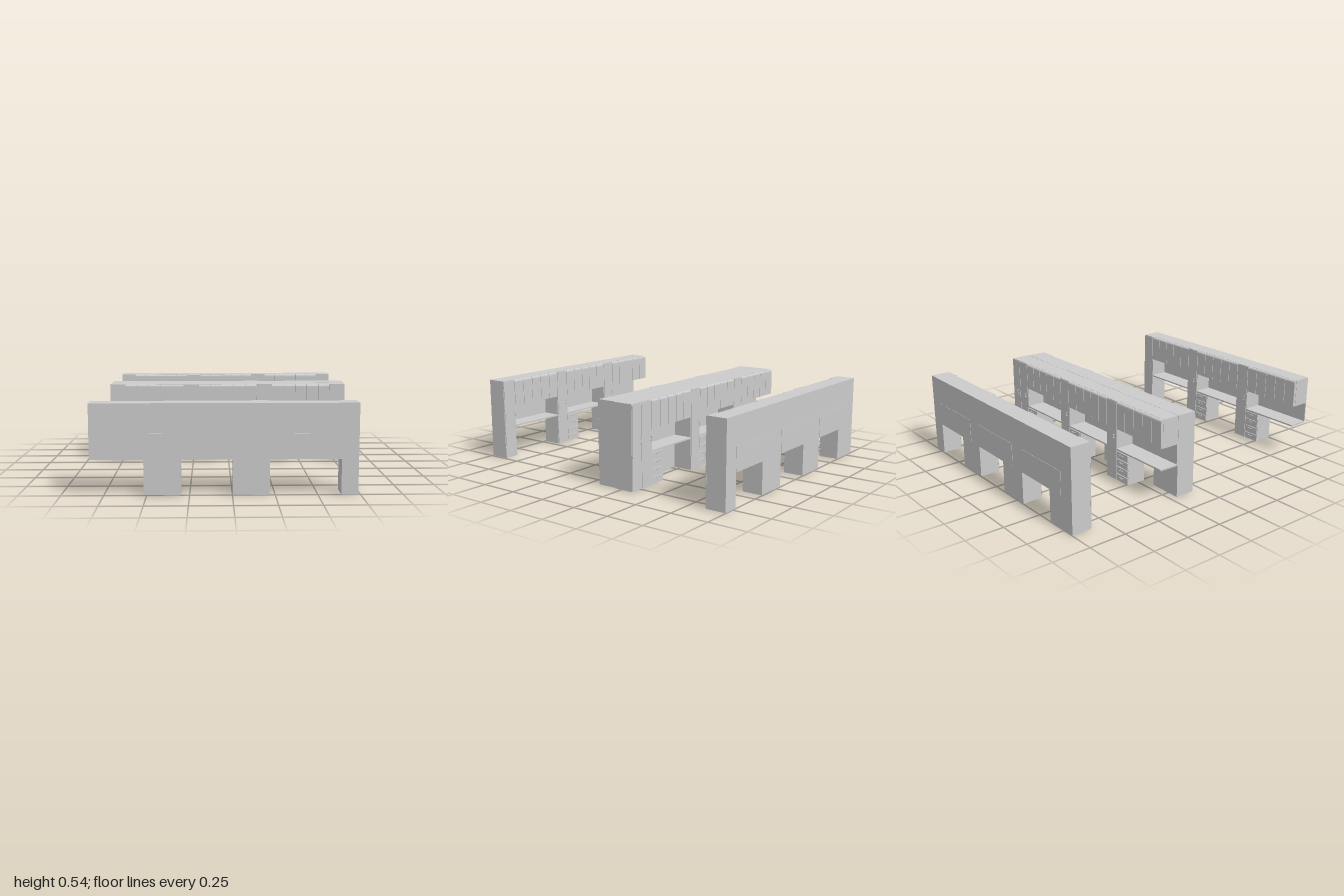
import * as THREE from 'three';

const H = 0.545, DEPTH = 0.137, DESK_Y = 0.222, CUP_Y = 0.36;

export function createModel() {
  const mat = new THREE.MeshStandardMaterial({ color: 0xcccccc, flatShading: true });
  const model = new THREE.Group();
  model.name = 'workstationRows';

  // box given by its min and max corners
  function box(parent, name, x0, x1, y0, y1, z0, z1) {
    const mesh = new THREE.Mesh(new THREE.BoxGeometry(x1 - x0, y1 - y0, z1 - z0), mat);
    mesh.position.set((x0 + x1) / 2, (y0 + y1) / 2, (z0 + z1) / 2);
    mesh.name = name;
    parent.add(mesh);
    return mesh;
  }

  // bracket-shaped pull, lying along x or standing along y
  function pull(parent, x, y, z, length, upright) {
    const g = new THREE.Group();
    g.name = 'pullHandle';
    const h = length / 2, t = 0.003, out = 0.015;
    box(g, 'grip', -h, h, -t / 2, t / 2, out - t, out);
    for (const s of [-1, 1]) {
      const c = s * (h - t / 2);
      box(g, 'post', c - t / 2, c + t / 2, -t / 2, t / 2, 0, out - t);
    }
    if (upright) g.rotation.z = Math.PI / 2;
    g.position.set(x, y, z);
    parent.add(g);
  }

  // full-height cabinet with one door
  function tallCabinet(parent, x0, x1) {
    const g = new THREE.Group();
    g.name = 'tallCabinet';
    box(g, 'carcass', x0, x1, 0.004, H, 0, DEPTH - 0.006);
    box(g, 'door', x0 + 0.002, x1 - 0.002, 0.008, H - 0.003, DEPTH - 0.004, DEPTH);
    pull(g, x1 - 0.018, 0.308, DEPTH, 0.028, true);
    parent.add(g);
  }

  // four-drawer pedestal
  function drawerUnit(parent, x0, x1) {
    const g = new THREE.Group();
    g.name = 'drawerUnit';
    const y0 = 0.006, top = DESK_Y - 0.006, step = (top - y0) / 4;
    box(g, 'carcass', x0, x1, y0, top, 0, DEPTH - 0.008);
    for (let i = 0; i < 4; i++) {
      const y = y0 + i * step;
      box(g, 'drawerFront', x0 + 0.002, x1 - 0.002, y + 0.002, y + step - 0.007, DEPTH - 0.008, DEPTH - 0.001);
      pull(g, (x0 + x1) / 2, y + step * 0.66, DEPTH - 0.001, 0.03, false);
    }
    parent.add(g);
  }

  // door section in z-y with a rounded top edge, extruded across the door width
  function cupboardDoor(parent, x0, x1) {
    const r = 0.016, zb = DEPTH - 0.022, zf = DEPTH, y0 = CUP_Y + 0.002, y1 = H - 0.001;
    const s = new THREE.Shape();
    s.moveTo(-zb, y0);
    s.lineTo(-zb, y1);
    s.lineTo(-(zf - r), y1);
    s.quadraticCurveTo(-zf, y1, -zf, y1 - r);
    s.lineTo(-zf, y0);
    s.closePath();
    const geo = new THREE.ExtrudeGeometry(s, { depth: x1 - x0, bevelEnabled: false, curveSegments: 5 });
    geo.rotateY(Math.PI / 2);
    const mesh = new THREE.Mesh(geo, mat);
    mesh.position.x = x0;
    mesh.name = 'cupboardDoor';
    parent.add(mesh);
  }

  // desk top, back panel and the row of cupboards above it
  function deskBay(parent, x0, x1) {
    const g = new THREE.Group();
    g.name = 'deskBay';
    box(g, 'deskTop', x0, x1, DESK_Y - 0.006, DESK_Y + 0.004, 0, DEPTH - 0.001);
    box(g, 'backPanel', x0, x1, DESK_Y - 0.006, CUP_Y + 0.008, -0.002, 0.005);
    box(g, 'wallCupboard', x0, x1, CUP_Y, H, 0, DEPTH - 0.02);
    const n = 5, w = (x1 - x0) / n;
    for (let i = 0; i < n; i++) cupboardDoor(g, x0 + i * w + 0.0015, x0 + (i + 1) * w - 0.0015);
    parent.add(g);
  }

  // one row: a tall cabinet, drawers and desk, repeated along x
  function row(name, o) {
    const g = new THREE.Group();
    g.name = name;
    for (let i = 0; i < 3; i++) {
      const x = o.start + i * o.pitch, d = x + o.tall;
      tallCabinet(g, x, d);
      deskBay(g, d, i === 2 ? o.end : x + o.pitch);
      if (i >= o.skipDrawers) drawerUnit(g, d, d + 0.115);
    }
    if (o.extra) tallCabinet(g, ...o.extra);
    g.position.z = o.z;
    if (o.turned) g.rotation.y = Math.PI;
    model.add(g);
  }

  const forward = { start: -0.83, pitch: 0.515, tall: 0.105, end: 0.715, skipDrawers: 0, extra: [0.715, 0.82] };
  const turned = { start: -0.738, pitch: 0.52, tall: 0.1, end: 0.83, turned: true };
  row('rearRow', { ...forward, z: -0.998 });
  row('middleFrontRow', { ...forward, z: -0.202 });
  row('middleBackRow', { ...turned, z: -0.204, skipDrawers: 0, extra: [-0.828, -0.738] });
  row('frontRow', { ...turned, z: 0.998, skipDrawers: 1 });

  return model;
}
